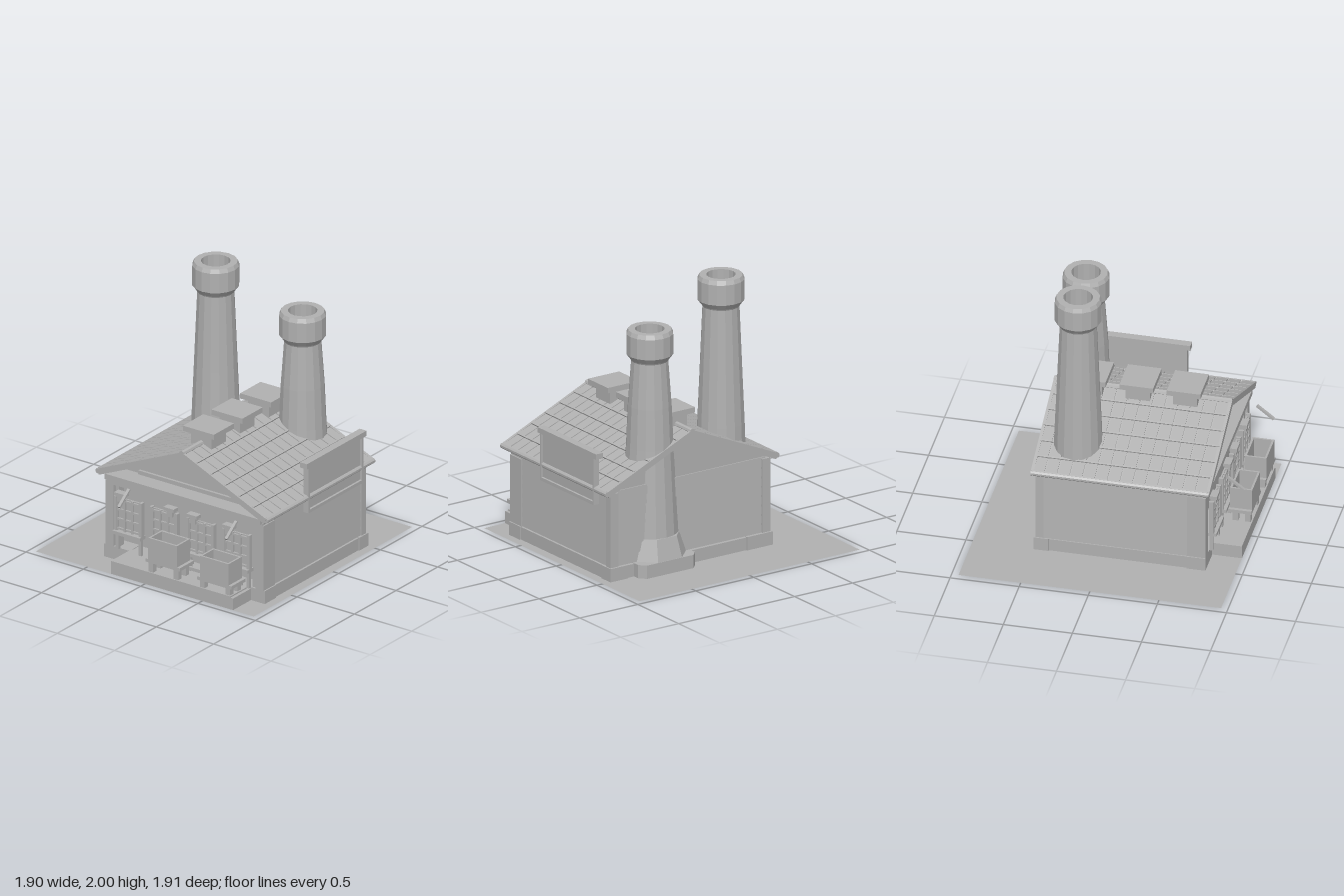
import * as THREE from 'three';

const grey = new THREE.MeshStandardMaterial({ color: 0xb0b0b0, side: THREE.DoubleSide, flatShading: true });
grey.name = 'plain grey';

function add(parent, name, geometry, x = 0, y = 0, z = 0) {
  const mesh = new THREE.Mesh(geometry, grey);
  mesh.name = name;
  mesh.position.set(x, y, z);
  parent.add(mesh);
  return mesh;
}

// Box given by its limits on each axis
function box(parent, name, x0, x1, y0, y1, z0, z1) {
  return add(parent, name, new THREE.BoxGeometry(x1 - x0, y1 - y0, z1 - z0), (x0 + x1) / 2, (y0 + y1) / 2, (z0 + z1) / 2);
}

function part(parent, name, x = 0, y = 0, z = 0) {
  const g = new THREE.Group();
  g.name = name;
  g.position.set(x, y, z);
  parent.add(g);
  return g;
}

const shapeOf = pts => new THREE.Shape(pts.map(p => new THREE.Vector2(...p)));
const MID = 0.19;

// Tapered stack with a flared, hollow cap
function chimney(parent, name, x, z, top, bottom, rBottom) {
  const profile = [
    [rBottom, bottom], [0.17, 0.9], [0.157, 1.2], [0.133, top - 0.23], [0.138, top - 0.22], [0.168, top - 0.18],
    [0.168, top - 0.03], [0.155, top], [0.105, top], [0.105, top - 0.15], [0, top - 0.15]
  ].map(p => new THREE.Vector2(...p));
  add(parent, name, new THREE.LatheGeometry(profile, 16), x, 0, z);
}

// One roof slope: slab, overlapping tiles, ribs, edge boards and gutter
function roofSlope(parent, s) {
  const run = 0.735, drop = 0.32, L = Math.hypot(run, drop), W = 1.27;
  const g = part(parent, s > 0 ? 'leftRoof' : 'rightRoof', MID, 0.99, 0.125);
  g.rotation.z = -s * Math.atan2(drop, run);
  add(g, 'roofSlab', new THREE.BoxGeometry(L, 0.03, W), s * L / 2, -0.015, 0);
  const rows = 6, cols = 14, dx = L / rows, dz = W / cols;
  for (let r = 0; r < rows; r++) {
    for (let c = 0; c < cols; c++) {
      const tile = add(g, 'roofTile', new THREE.BoxGeometry(dx, 0.008, dz - 0.01), s * (r + 0.5) * dx, 0.004, (c + 0.5) * dz - W / 2);
      tile.rotation.z = s * 0.06;
    }
    add(g, 'tileRib', new THREE.BoxGeometry(0.012, 0.016, W), s * (r + 1) * dx - s * 0.006, 0.006, 0);
  }
  for (const e of [-1, 1]) add(g, 'edgeBoard', new THREE.BoxGeometry(L, 0.045, 0.022), s * L / 2, -0.012, e * W / 2);
  const gutter = add(g, 'gutter', new THREE.CylinderGeometry(0.02, 0.02, W + 0.02, 8), s * L, -0.005, 0);
  gutter.rotation.x = Math.PI / 2;
}

// Slightly tilted lap boards on a wall; the group's +z is the outside
function siding(parent, name, width, x, z, turn) {
  const g = part(parent, name, x, 0, z);
  g.rotation.y = turn;
  const n = 8, h = 0.56 / n;
  for (let i = 0; i < n; i++) {
    const b = add(g, 'wallBoard', new THREE.BoxGeometry(width, h, 0.012), 0, 0.1 + (i + 0.5) * h, 0.006);
    b.rotation.x = -0.08;
  }
}

// Lattice shutter with sill, bracket and stand
function shutter(parent, x, side) {
  const g = part(parent, 'shutter', x, 0, 0.75);
  box(g, 'shutterPanel', -0.1, 0.1, 0.25, 0.5, -0.012, 0);
  for (let i = 0; i < 4; i++) {
    const px = -0.1 + i * 0.2 / 3, py = 0.265 + i * 0.073;
    box(g, 'upright', px - 0.008, px + 0.008, 0.25, 0.5, 0, 0.016);
    box(g, 'crossbar', -0.1, 0.1, py - 0.007, py + 0.007, 0, 0.014);
  }
  box(g, 'sill', -0.12, 0.12, 0.225, 0.25, -0.03, 0.04);
  for (const s of [-1, 1]) {
    box(g, 'frameSide', s * 0.11 - 0.01, s * 0.11 + 0.01, 0.25, 0.51, -0.015, 0.02);
    box(g, 'standLeg', s * 0.1 - 0.012, s * 0.1 + 0.012, 0.1, 0.225, -0.012, 0.012);
  }
  box(g, 'bracketStem', side * 0.06 - 0.025, side * 0.06 + 0.025, 0.48, 0.53, -0.01, 0.03);
  box(g, 'bracketTop', side * 0.06 - 0.045, side * 0.06 + 0.045, 0.525, 0.55, -0.015, 0.04);
}

// Open crate on a low pallet
function crate(parent, x, y) {
  const g = part(parent, 'crate', x, y, 0);
  box(g, 'crateFloor', -0.12, 0.12, 0, 0.015, 0.79, 0.95);
  for (const z of [0.79, 0.935]) box(g, 'crateWall', -0.125, 0.125, 0, 0.165, z, z + 0.015);
  for (const s of [-1, 1]) box(g, 'crateEnd', s * 0.118 - 0.007, s * 0.118 + 0.007, 0, 0.165, 0.79, 0.95);
  box(g, 'pallet', -0.15, 0.15, -0.025, 0, 0.78, 0.95);
  for (const s of [-1, 1]) for (const z of [0.81, 0.9]) {
    box(g, 'palletFoot', s * 0.11 - 0.02, s * 0.11 + 0.02, 0.1 - y, -0.025, z, z + 0.04);
  }
}

export function createModel() {
  const root = new THREE.Group();
  root.name = 'factory';

  // Ground and foundations
  const ground = add(root, 'ground', new THREE.PlaneGeometry(1.9, 1.9), 0, 0, 0);
  ground.rotation.x = -Math.PI / 2;
  box(root, 'plinth', -0.5, 0.88, 0.001, 0.095, -0.5, 0.72);
  for (const [x0, x1] of [[-0.51, -0.29], [0.74, 0.89]]) {
    box(root, 'frontPlinth', x0, x1, 0.001, 0.1, 0.6, 0.735);
    box(root, 'backPlinth', x0, x1, 0.001, 0.1, -0.51, -0.4);
  }
  box(root, 'frontDeck', -0.295, 0.745, 0.001, 0.1, 0.7, 0.95);
  box(root, 'deckStep', 0.74, 0.77, 0.001, 0.09, 0.7, 0.95);
  box(root, 'deckRail', 0.08, 0.72, 0.115, 0.14, 0.76, 0.78);

  // Main building with gabled ends
  const body = shapeOf([[-0.47, 0.09], [0.85, 0.09], [0.85, 0.66], [MID, 0.955], [-0.47, 0.66]]);
  add(root, 'building', new THREE.ExtrudeGeometry(body, { depth: 1.08, bevelEnabled: false }), 0, 0, -0.47);
  for (const [x, t] of [[-0.475, -1], [0.855, 1]]) {
    box(root, 'sideWall', x - 0.012, x + 0.005, 0.09, 0.66, -0.46, 0.72);
    siding(root, 'sideSiding', 1.17, x + (t > 0 ? 0.002 : -0.01), 0.125, t * Math.PI / 2);
  }
  siding(root, 'backSiding', 1.31, MID, -0.472, Math.PI);
  for (const x of [-0.5, 0.81]) {
    box(root, 'frontPost', x, x + 0.07, 0.1, 0.6, 0.6, 0.735);
    box(root, 'backPost', x, x + 0.07, 0.1, 0.65, -0.495, -0.44);
  }
  for (const x of [-0.42, 0.77]) box(root, 'innerPost', x, x + 0.03, 0.1, 0.58, 0.66, 0.72);

  // Lintel over the front
  box(root, 'lintel', -0.49, 0.87, 0.575, 0.615, 0.6, 0.735);
  box(root, 'lintelLedge', -0.49, 0.865, 0.615, 0.655, 0.6, 0.76);
  box(root, 'gableStrip', -0.29, 0.68, 0.655, 0.685, 0.6, 0.63);
  for (const x of [-0.225, 0.71]) {
    const strut = add(root, 'awningStrut', new THREE.BoxGeometry(0.022, 0.016, 0.155), x, 0.58, 0.89);
    strut.rotation.x = 0.66;
  }

  // Shop front
  [-0.28, 0.03, 0.35, 0.66].forEach((x, i) => shutter(root, x, [-1, 1, -1, -1][i]));
  crate(root, 0.155, 0.2);
  crate(root, 0.605, 0.18);

  // Roof
  roofSlope(root, 1);
  roofSlope(root, -1);
  const ridge = add(root, 'ridgeCap', new THREE.CylinderGeometry(0.022, 0.022, 1.29, 8), MID, 0.99, 0.125);
  ridge.rotation.x = Math.PI / 2;
  for (const z of [-0.24, 0.105, 0.447]) {
    const vent = part(root, 'roofVent', MID, 0, z);
    box(vent, 'ventNeck', -0.09, 0.09, 0.94, 1.06, -0.088, 0.088);
    box(vent, 'ventTop', -0.135, 0.135, 1.06, 1.1, -0.122, 0.122);
  }

  // Chimneys
  chimney(root, 'tallChimney', -0.25, -0.245, 2, 0.6, 0.18);
  chimney(root, 'shortChimney', 0.435, -0.345, 1.76, 0.1, 0.213);
  const flare = new THREE.CylinderGeometry(0.225, 0.27, 0.155, 8);
  flare.rotateY(Math.PI / 8);
  add(root, 'chimneyFoot', flare, 0.435, 0.177, -0.345);
  const slab = shapeOf([[0.19, 0.4], [0.68, 0.4], [0.68, 0.55], [0.635, 0.597], [0.235, 0.597], [0.19, 0.55]]);
  const slabMesh = add(root, 'chimneyPlinth', new THREE.ExtrudeGeometry(slab, { depth: 0.099, bevelEnabled: false }), 0, 0.001, 0);
  slabMesh.rotation.x = -Math.PI / 2;

  // Blank signboard on the side
  const sign = part(root, 'signboard');
  box(sign, 'signPanel', 0.9, 0.925, 0.56, 0.91, -0.36, 0.27);
  box(sign, 'signTopRail', 0.885, 0.945, 0.9, 0.94, -0.41, 0.305);
  box(sign, 'signBottomRail', 0.895, 0.942, 0.55, 0.575, -0.375, 0.28);
  for (const z of [-0.375, 0.265]) box(sign, 'signSide', 0.895, 0.942, 0.55, 0.91, z, z + 0.015);

  return root;
}
